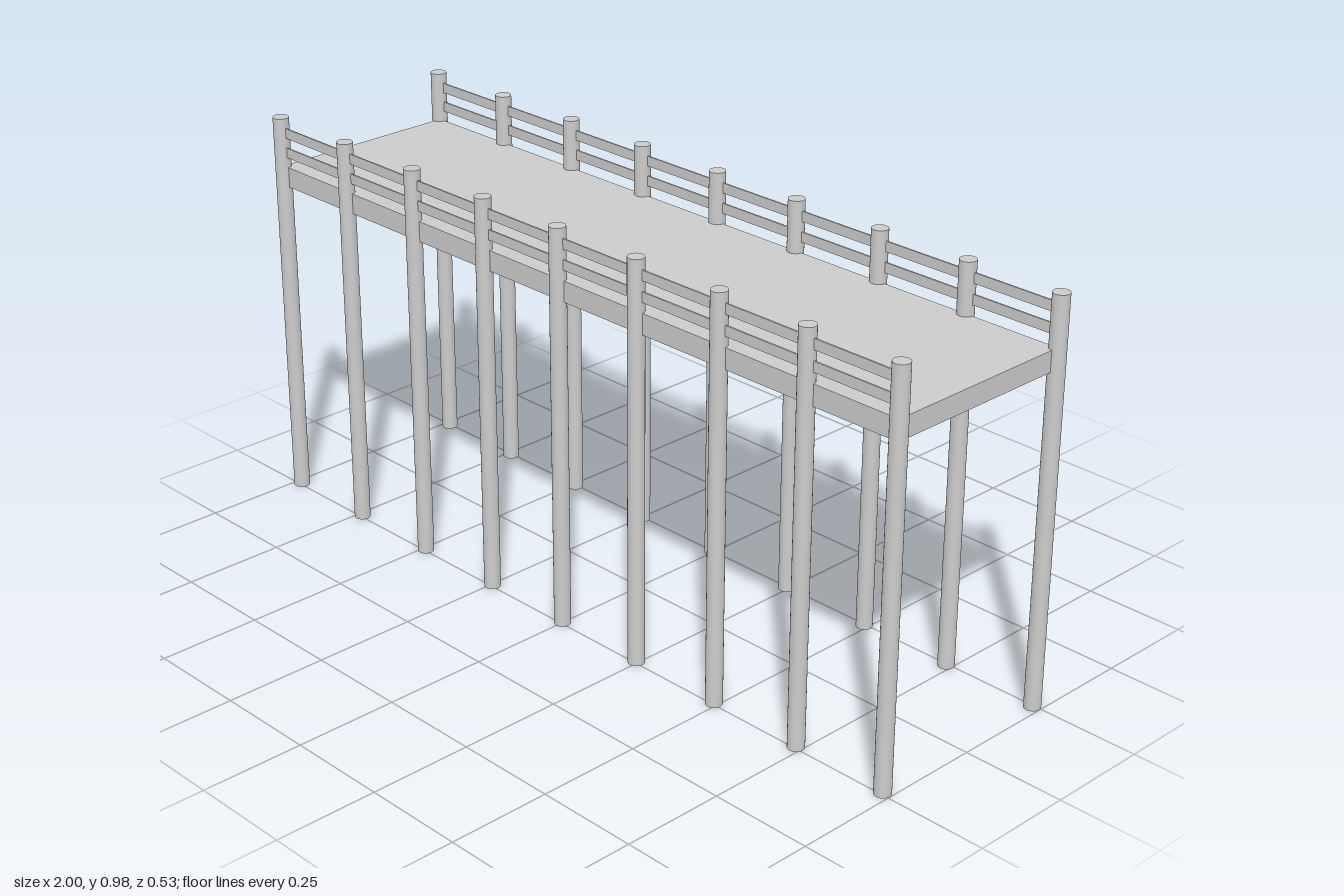
import * as THREE from 'three';

export function createModel() {
  const group = new THREE.Group();
  const material = new THREE.MeshStandardMaterial({ color: 0xcccccc });
  const halfLength = 0.98, halfWidth = 0.245, height = 0.98, bays = 8;

  function add(name, geometry, x, y, z) {
    const mesh = new THREE.Mesh(geometry, material);
    mesh.name = name;
    mesh.position.set(x, y, z);
    group.add(mesh);
  }

  // Walkway slab
  add('deck', new THREE.BoxGeometry(2 * halfLength, 0.05, 2 * halfWidth), 0, 0.831, 0);

  const post = new THREE.CylinderGeometry(0.0196, 0.0196, height, 24);
  const rail = new THREE.BoxGeometry(2 * halfLength, 0.0245, 0.004);

  for (const side of [1, -1]) {
    const label = side > 0 ? 'front' : 'back';
    // Round piles that rise past the deck as railing posts
    for (let i = 0; i <= bays; i++) {
      const x = -halfLength + (2 * halfLength * i) / bays;
      add(label + 'Post' + (i + 1), post, x, height / 2, side * halfWidth);
    }
    // Two thin rails along each edge
    add(label + 'LowerRail', rail, 0, 0.894, side * halfWidth);
    add(label + 'UpperRail', rail, 0, 0.943, side * halfWidth);
  }
  return group;
}
